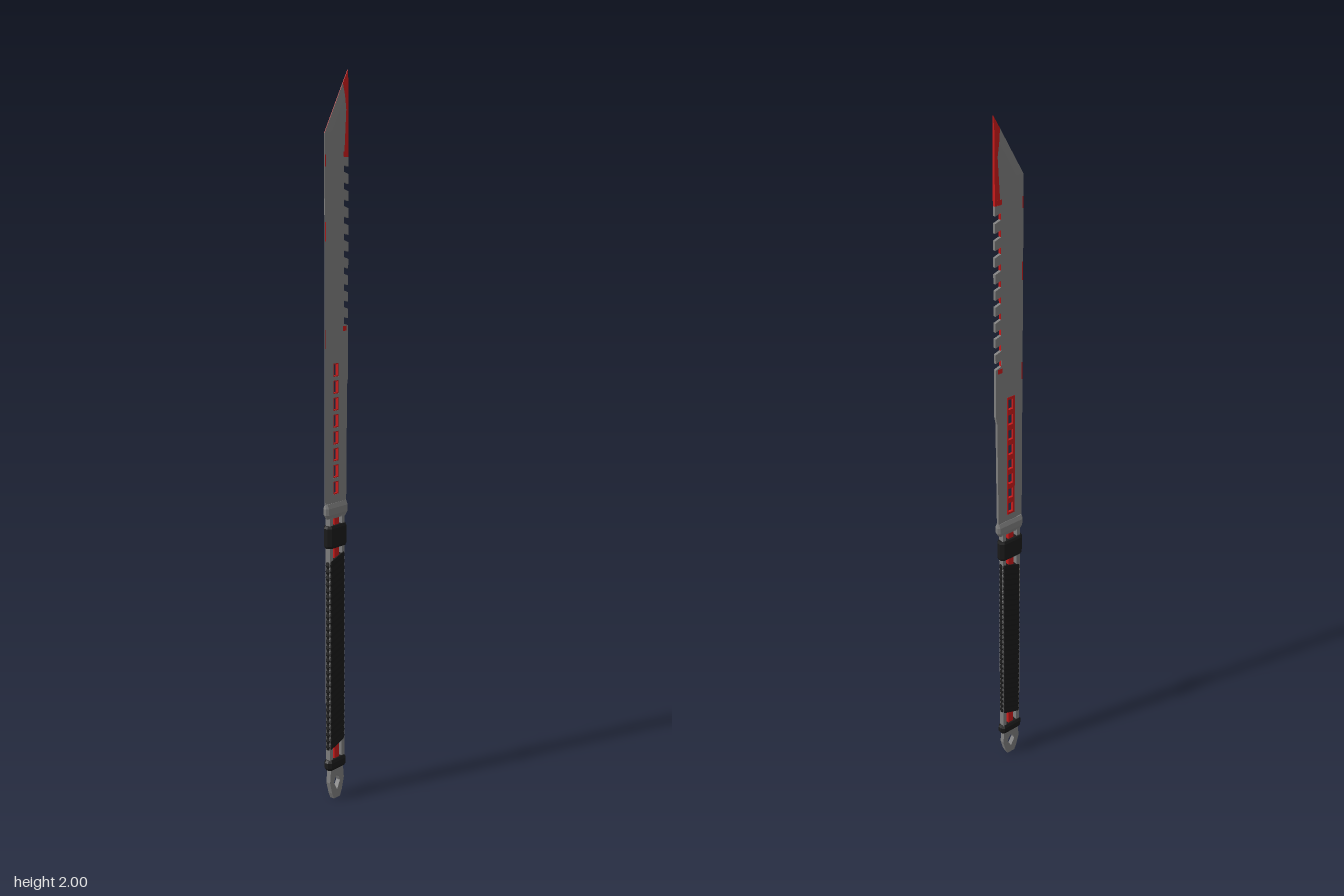
import * as THREE from 'three';

const mat = (name, color) => {
  const m = new THREE.MeshStandardMaterial({ color, flatShading: true });
  m.name = name;
  return m;
};

export function createModel() {
  const steel = mat('steel', 0x7e7e7e);
  const black = mat('black cord', 0x1a1a1a);
  const red = mat('red paint', 0xc81a1a);
  const group = new THREE.Group();

  const add = (name, geo, material, x = 0, y = 0, z = 0) => {
    const m = new THREE.Mesh(geo, material);
    m.name = name;
    m.position.set(x, y, z);
    group.add(m);
  };
  const pts = (a) => a.map(([x, y]) => new THREE.Vector2(x, y));
  // flat plate between z0 and z1, with optional holes
  const plate = (outline, z0, z1, holes = []) => {
    const s = new THREE.Shape(pts(outline));
    holes.forEach((h) => s.holes.push(new THREE.Path(pts(h))));
    return new THREE.ExtrudeGeometry(s, { depth: z1 - z0, bevelEnabled: false }).translate(0, 0, z0);
  };
  const rect = (x0, x1, y0, y1) => [[x0, y0], [x1, y0], [x1, y1], [x0, y1]];
  // flat four-cornered faces
  const quads = (list) => {
    const pos = list.flatMap(([a, b, c, d]) => [a, b, c, a, c, d].flat());
    const g = new THREE.BufferGeometry();
    g.setAttribute('position', new THREE.Float32BufferAttribute(pos, 3));
    g.computeVertexNormals();
    return g;
  };

  // closed loft through chamfered sections: [y, half width, half depth]; slope tilts the rings
  const loft = (rings, slope = 0) => {
    const pos = [], idx = [], n = 8;
    for (const [y, w, d] of rings) {
      const c = Math.min(w, d) * 0.6;
      for (const [x, z] of [[w, d - c], [w, c - d], [w - c, -d], [c - w, -d], [-w, c - d], [-w, d - c], [c - w, d], [w - c, d]])
        pos.push(x, y + slope * x, z);
    }
    for (let r = 0; r < rings.length - 1; r++)
      for (let i = 0; i < n; i++) {
        const a = r * n + i, b = r * n + (i + 1) % n;
        idx.push(a, b, b + n, a, b + n, a + n);
      }
    const top = (rings.length - 1) * n;
    for (let i = 1; i < n - 1; i++) idx.push(0, i + 1, i, top, top + i, top + i + 1);
    const g = new THREE.BufferGeometry();
    g.setAttribute('position', new THREE.Float32BufferAttribute(pos, 3));
    g.setIndex(idx);
    const flat = g.toNonIndexed();
    flat.computeVertexNormals();
    return flat;
  };

  // blade body: straight bevel line on the left, saw teeth on the right
  const T = 0.004;
  const outline = [[-0.02, 0.85], [0.038, 0.85], [0.041, 1.18], [0.045, 1.2], [0.045, 1.34]];
  const notches = 10, pitch = 0.044;
  for (let i = 0; i < notches; i++) {
    const y = 1.34 + i * pitch;
    outline.push([0.027, y + 0.006], [0.027, y + 0.024], [0.045, y + 0.019]);
    if (i < notches - 1) outline.push([0.045, y + pitch]);
  }
  outline.push([0.045, 1.78], [0.028, 1.78], [0.036, 1.9], [0.031, 1.934], [-0.02, 1.843]);
  const windows = [], liners = [];
  for (let i = 0; i < 8; i++) {
    const y = 0.885 + i * 0.046;
    windows.push(rect(-0.016, 0.006, y, y + 0.036));
    liners.push(rect(-0.012, 0.004, y + 0.003, y + 0.033));
  }
  add('bladeBody', plate(outline, -T, T, windows), steel);
  add('slotLiner', plate(rect(-0.018, 0.008, 0.882, 1.248), -T - 0.0006, 0.003, liners), red);
  add('redSpine', plate([[0.028, 1.78], [0.045, 1.78], [0.045, 1.96], [0.031, 1.934], [0.036, 1.9]], -T, T), red);

  // bevel along the left edge and the slanted tip, with a narrow red line on the tip
  const E = 0.0009;
  const edge = [[-0.046, 0.85], [-0.046, 1.84], [0.026, 1.966], [0.046, 2]];
  const inner = [[-0.02, 0.85], [-0.02, 1.843], [0.031, 1.934], [0.045, 1.96]];
  for (let i = 0; i < 3; i++) {
    const [e0, e1, f0, f1] = [edge[i], edge[i + 1], inner[i], inner[i + 1]];
    const faces = [
      [[...e0, E], [...f0, T], [...f1, T], [...e1, E]],
      [[...e0, -E], [...e1, -E], [...f1, -T], [...f0, -T]],
    ];
    if (i === 2) faces.push([[...e1, E], [...f1, T], [...f1, -T], [...e1, -E]]);
    add(i === 2 ? 'redTip' : 'edgeBevel', quads(faces), i === 2 ? red : steel);
    add('cuttingLine', quads([[[...e0, -E], [...e0, E], [...e1, E], [...e1, -E]]]), i ? red : steel);
  }

  // red paint on the notch floors, below the teeth and in worn spots by the cutting edge
  for (let i = 0; i < notches; i++)
    add('notchPaint', new THREE.BoxGeometry(0.002, 0.016, 0.0076), red, 0.0272, 1.355 + i * pitch, 0);
  for (const y of [1.333, 1.787])
    add('toothEndPaint', new THREE.BoxGeometry(0.014, 0.013, 0.0086), red, 0.031, y, 0);
  for (const [y, h] of [[1.77, 0.03], [1.59, 0.05], [1.31, 0.05]])
    add('edgePaint', new THREE.BoxGeometry(0.003, h, 0.0034), red, -0.0435, y, 0);

  // guard
  add('guard', loft([[0.82, 0.037, 0.007], [0.832, 0.044, 0.01], [0.85, 0.045, 0.01], [0.862, 0.042, 0.005]]), steel, -0.002);

  // open tang: two steel rails around a red core
  for (const x of [-0.029, 0.021])
    add('tangRail', new THREE.BoxGeometry(0.012, 0.73, 0.016), steel, x, 0.465, 0);
  add('tangCore', new THREE.BoxGeometry(0.019, 0.73, 0.011), red, -0.004, 0.465, 0);

  // collar, cord wrap and lower ring
  add('collar', loft([[0.738, 0.036, 0.012], [0.745, 0.039, 0.015], [0.794, 0.039, 0.015], [0.801, 0.036, 0.012]]), black, -0.004);
  const wrap = [];
  const turns = 30, h = 0.548 / turns;
  for (let i = 0; i < turns; i++) {
    const y = 0.162 + i * h;
    wrap.push([y, 0.0318, 0.0092], [y + h * 0.5, 0.034, 0.011]);
  }
  wrap.push([0.71, 0.0318, 0.0092]);
  add('cordWrap', loft(wrap, 0.35), black, -0.004);
  add('lowerRing', loft([[0.09, 0.033, 0.01], [0.098, 0.038, 0.014], [0.113, 0.038, 0.014], [0.121, 0.033, 0.01]]), black, -0.004);

  // pommel with a teardrop lanyard hole
  const pommel = [[-0.017, 0], [0.009, 0], [0.017, 0.018], [0.026, 0.052], [0.021, 0.1], [-0.029, 0.1], [-0.034, 0.052], [-0.025, 0.018]];
  const hole = [[-0.004, 0.024], [0.009, 0.048], [0.004, 0.061], [-0.004, 0.07], [-0.012, 0.061], [-0.017, 0.048]];
  add('pommel', plate(pommel, -0.007, 0.007, [hole]), steel);

  return group;
}
